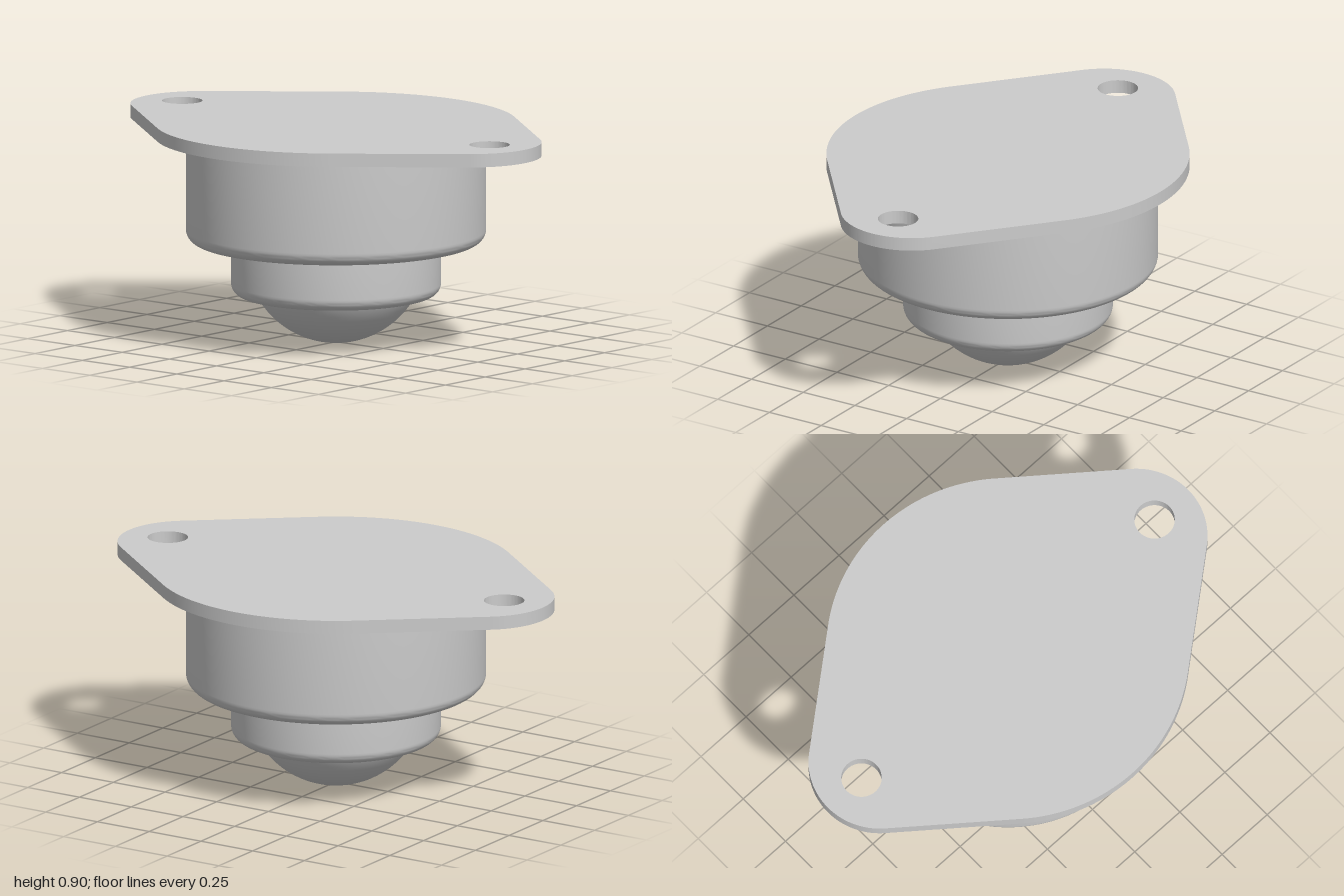
import * as THREE from 'three';
import { toCreasedNormals } from 'three/addons/utils/BufferGeometryUtils.js';

const material = new THREE.MeshStandardMaterial({ color: 0xcccccc });

function addPart(group, name, geometry) {
  const mesh = new THREE.Mesh(geometry, material);
  mesh.name = name;
  group.add(mesh);
  return mesh;
}

// Turned cup: flat underside from the inner radius, rounded lower edge, straight wall
function cup(inner, radius, bottom, top, fillet) {
  const points = [new THREE.Vector2(inner, bottom)];
  const steps = 10;
  for (let i = 0; i <= steps; i++) {
    const a = (i / steps) * Math.PI / 2;
    points.push(new THREE.Vector2(
      radius - fillet + fillet * Math.sin(a),
      bottom + fillet - fillet * Math.cos(a)
    ));
  }
  points.push(new THREE.Vector2(radius, top));
  return toCreasedNormals(new THREE.LatheGeometry(points, 96), 0.5);
}

// Mounting plate: a large middle arc joined by tangents to a small arc at each end
function flangeGeometry() {
  const R = 0.735, r = 0.288, c = 1 - r;
  const a = Math.acos((R - r) / c);
  const shape = new THREE.Shape();
  shape.absarc(c, 0, r, -a, a);
  shape.absarc(0, 0, R, a, Math.PI - a);
  shape.absarc(-c, 0, r, Math.PI - a, Math.PI + a);
  shape.absarc(0, 0, R, Math.PI + a, 2 * Math.PI - a);
  shape.closePath();
  for (const side of [1, -1]) {
    const hole = new THREE.Path();
    hole.absarc(side * 0.813, 0, 0.082, 0, Math.PI * 2, true);
    shape.holes.push(hole);
  }
  const geometry = new THREE.ExtrudeGeometry(shape, { depth: 0.055, bevelEnabled: false, curveSegments: 40 });
  geometry.rotateX(-Math.PI / 2);
  geometry.translate(0, 0.845, 0);
  return toCreasedNormals(geometry, 0.5);
}

export function createModel() {
  const group = new THREE.Group();
  group.name = 'ballTransferUnit';

  addPart(group, 'mountingFlange', flangeGeometry());
  addPart(group, 'housing', cup(0.42, 0.608, 0.41, 0.845, 0.055));
  addPart(group, 'retainingCollar', cup(0.322, 0.425, 0.193, 0.411, 0.05));

  // Ball protruding through the collar
  const ballRadius = 0.366;
  addPart(group, 'ball', new THREE.SphereGeometry(ballRadius, 64, 40)).position.y = ballRadius;

  return group;
}
